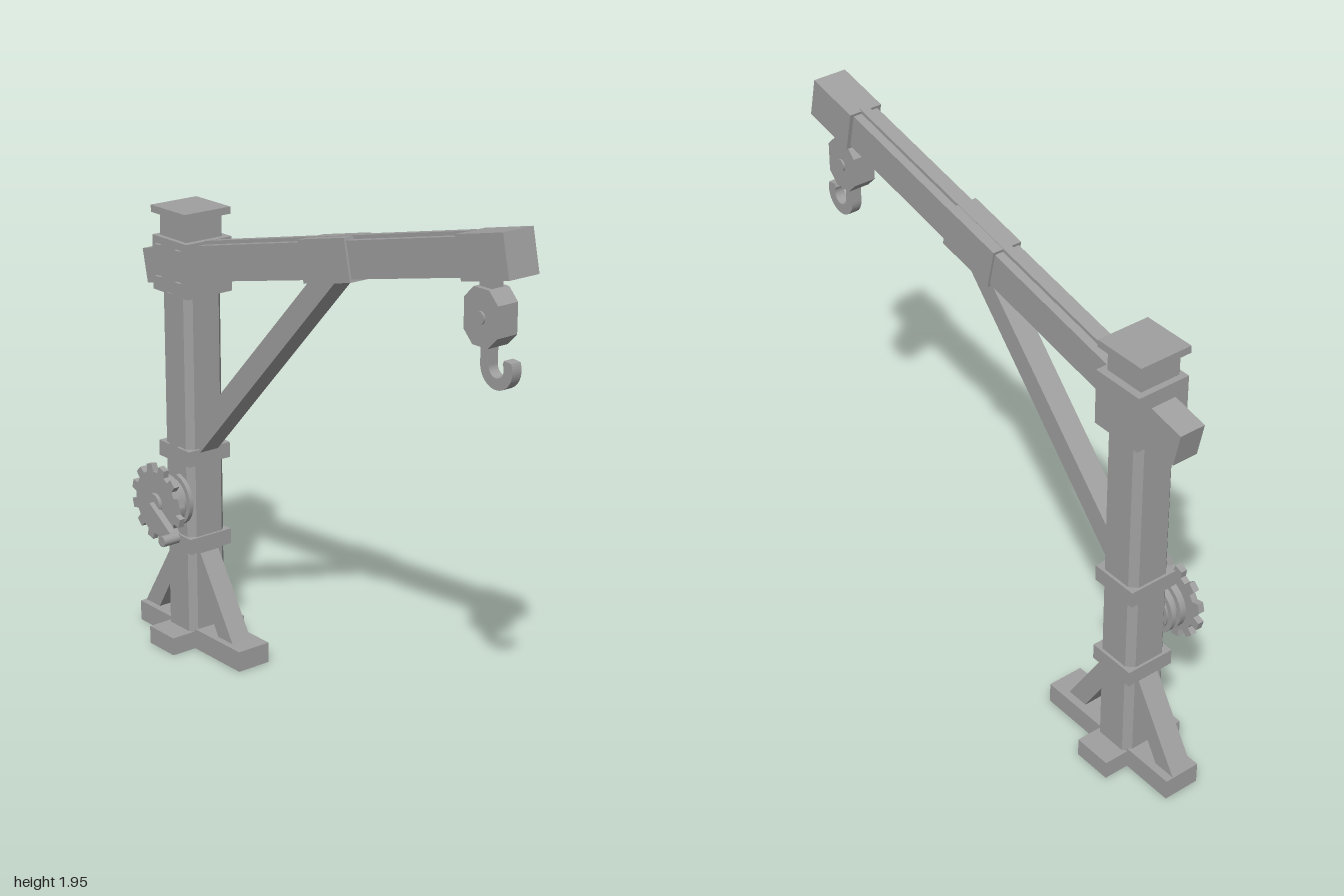
import * as THREE from 'three';

const PX = -0.72, ZC = -0.046; // post axis
const TILT = Math.atan(0.225);

export function createModel() {
  const root = new THREE.Group();
  root.name = 'hoistCrane';
  const grey = new THREE.MeshStandardMaterial({ color: 0xa0a0a0 });
  grey.name = 'plain grey';

  const add = (name, geo, x = 0, y = 0, z = 0, parent = root) => {
    const m = new THREE.Mesh(geo, grey);
    m.name = name;
    m.position.set(x, y, z);
    parent.add(m);
    return m;
  };
  const box = (name, w, h, d, x, y, z, parent) =>
    add(name, new THREE.BoxGeometry(w, h, d), x, y, z, parent);
  // Flat outline in XY, thickened in z around a centre
  const plate = (name, pts, depth, z, x = 0, y = 0, parent = root) => {
    const shape = new THREE.Shape(pts.map(p => new THREE.Vector2(p[0], p[1])));
    const geo = new THREE.ExtrudeGeometry(shape, { depth, bevelEnabled: false });
    geo.translate(0, 0, -depth / 2);
    return add(name, geo, x, y, z, parent);
  };
  // Disc whose axis runs along z
  const disc = (name, r, z0, z1, x, y, sides = 24) =>
    add(name, new THREE.CylinderGeometry(r, r, z1 - z0, sides).rotateX(Math.PI / 2), x, y, (z0 + z1) / 2);
  const chamfered = (w, h, c) => [
    [-w + c, -h], [w - c, -h], [w, -h + c], [w, h - c],
    [w - c, h], [-w + c, h], [-w, h - c], [-w, -h + c]];

  // Feet
  box('longFoot', 0.63, 0.08, 0.14, -0.685, 0.04, -0.048);
  box('crossFoot', 0.15, 0.07, 0.34, PX, 0.035, -0.045);

  // Foot braces, mirrored about the post
  for (const s of [-1, 1]) {
    const pts = [[0.28, 0.075], [0.08, 0.395], [0.08, 0.26], [0.192, 0.075]].map(p => [s * p[0], p[1]]);
    plate('footBrace', pts, 0.085, ZC, PX);
  }

  // Post with chamfered corners, laid out flat and stood upright
  const post = plate('post', chamfered(0.084, 0.084, 0.025), 1.4, ZC, PX, 0.73);
  post.rotation.x = -Math.PI / 2;
  box('postTop', 0.16, 0.12, 0.16, PX, 1.63, ZC);
  box('postCap', 0.206, 0.027, 0.206, PX, 1.697, ZC);
  for (const y of [0.428, 0.777]) box('postBand', 0.187, 0.06, 0.19, PX, y, ZC);

  // Collar and its bolts
  box('collar', 0.206, 0.205, 0.206, PX, 1.497, -0.05);
  for (const sx of [-1, 1]) for (const sy of [-1, 1])
    box('collarBolt', 0.03, 0.03, 0.02, PX + sx * 0.06, 1.497 + sy * 0.06, 0.055);

  // Tilted boom; local x runs along the beam from the tail
  const boom = new THREE.Group();
  boom.name = 'boom';
  boom.position.set(-0.947, 1.447, -0.05);
  boom.rotation.z = TILT;
  root.add(boom);
  box('boomBeam', 1.93, 0.13, 0.1, 0.965, 0, 0, boom);
  box('boomSleeve', 0.25, 0.152, 0.116, 1.073, 0, 0, boom);
  box('boomTip', 0.22, 0.15, 0.13, 1.866, 0, 0, boom);
  box('boomRope', 1.5, 0.03, 0.034, 1.02, 0.063, 0, boom);

  // Diagonal strut
  plate('strut', [[-0.65, 0.77], [0.152, 1.62], [0.12, 1.65], [0.06, 1.643], [-0.65, 0.897]], 0.083, -0.044);

  // Rope down the post to the drum
  box('postRope', 0.034, 0.8, 0.03, PX, 1.0, 0.042);

  // Winch drum and gear
  const WY = 0.6;
  disc('drum', 0.082, 0.03, 0.1, PX, WY);
  disc('drumFlange', 0.102, 0.038, 0.055, PX, WY);
  disc('drumFlange', 0.102, 0.075, 0.1, PX, WY);
  const teeth = 12, gear = [];
  for (let i = 0; i < teeth; i++) {
    const a = (i + 0.5) / teeth * Math.PI * 2;
    for (const [da, r] of [[-0.16, 0.124], [-0.115, 0.152], [0.115, 0.152], [0.16, 0.124]])
      gear.push([r * Math.cos(a + da), r * Math.sin(a + da)]);
  }
  plate('gear', gear, 0.024, 0.126, PX, WY);
  disc('gearHub', 0.041, 0.095, 0.152, PX, WY);

  // Crank arm and handle
  const dx = 0.14, dy = -0.092;
  const arm = box('crankArm', Math.hypot(dx, dy), 0.026, 0.028, PX + dx / 2, WY + dy / 2, 0.158);
  arm.rotation.z = Math.atan2(dy, dx);
  disc('crankHandle', 0.021, 0.145, 0.215, PX + dx, WY + dy, 12);

  // Pulley block below the tip
  const HX = 0.857;
  box('blockHanger', 0.055, 0.09, 0.05, HX, 1.78, ZC);
  plate('pulleyBlock', chamfered(0.077, 0.095, 0.042), 0.086, ZC, HX, 1.656);
  disc('pulleyPin', 0.022, ZC - 0.05, ZC + 0.05, HX, 1.656, 16);

  // Flat hook: straight shank running into a curl
  const R = 0.073, r = 0.034, end = Math.PI * 2 + 0.75;
  const hook = new THREE.Shape();
  hook.moveTo(-R, 0.09);
  hook.lineTo(-R, 0);
  hook.absarc(0, 0, R, Math.PI, end - 0.35, false);
  hook.lineTo(0.046 * Math.cos(end), 0.046 * Math.sin(end));
  hook.absarc(0, 0, r, end - 0.2, Math.PI, true);
  hook.lineTo(-r, 0.09);
  const hookGeo = new THREE.ExtrudeGeometry(hook, { depth: 0.04, bevelEnabled: false, curveSegments: 14 });
  add('hook', hookGeo, 0.909, 1.499, ZC - 0.02);

  return root;
}
